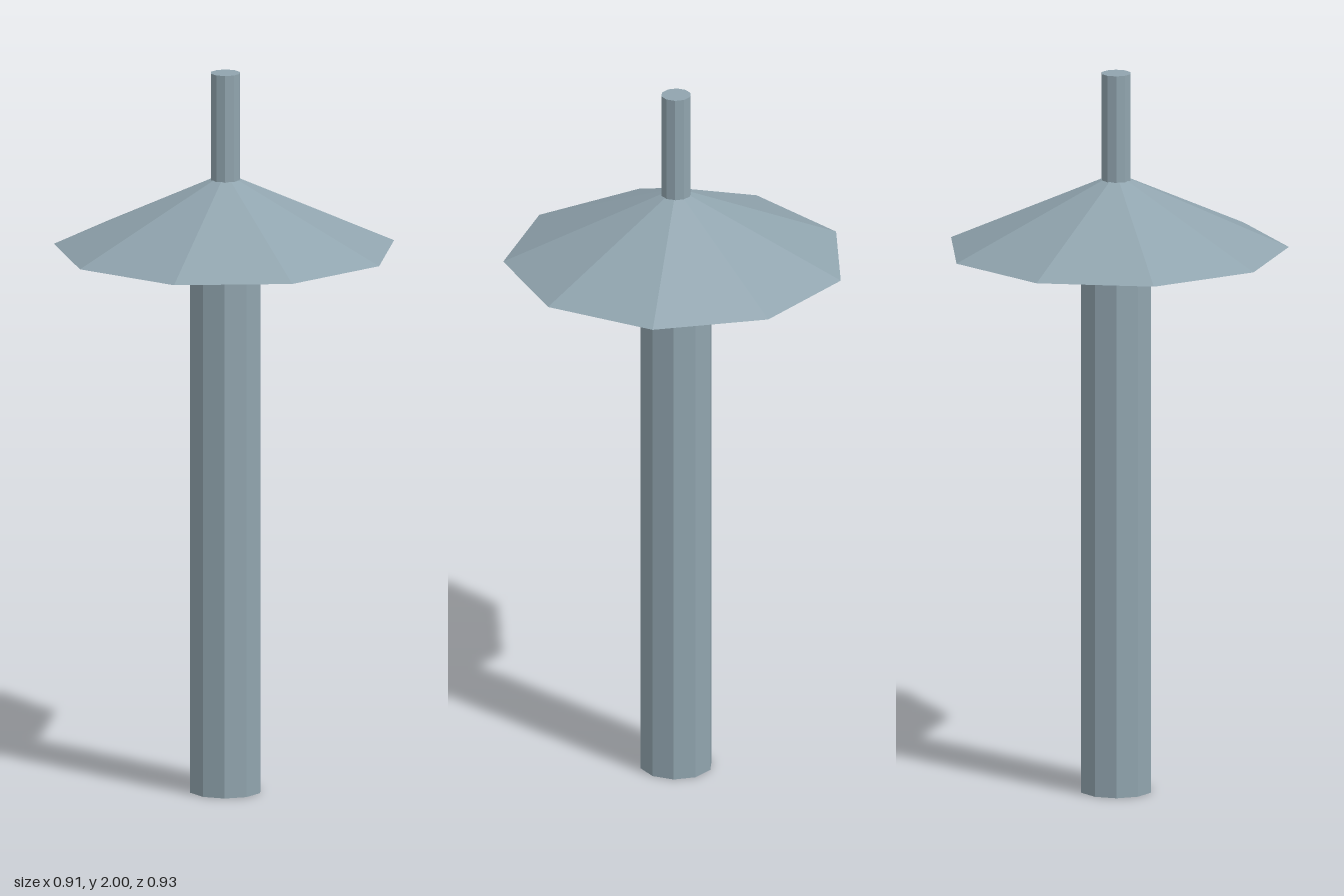
import * as THREE from 'three';

export function createModel() {
  const group = new THREE.Group();
  const steel = new THREE.MeshStandardMaterial({ color: 0x90a4ae, flatShading: true });
  steel.name = 'blue grey metal';

  // Upright faceted section between two heights, with a corner pointing to +x
  function section(name, rTop, rBottom, y0, y1, sides) {
    const geometry = new THREE.CylinderGeometry(rTop, rBottom, y1 - y0, sides, 1, false, Math.PI / 2);
    const mesh = new THREE.Mesh(geometry, steel);
    mesh.name = name;
    mesh.position.set(-0.014, (y0 + y1) / 2, 0);
    group.add(mesh);
  }

  section('shaft', 0.1, 0.1, 0, 1.51, 10);
  section('canopy', 0.04, 0.47, 1.51, 1.704, 9);
  section('topRod', 0.041, 0.041, 1.7, 2, 10);

  return group;
}
